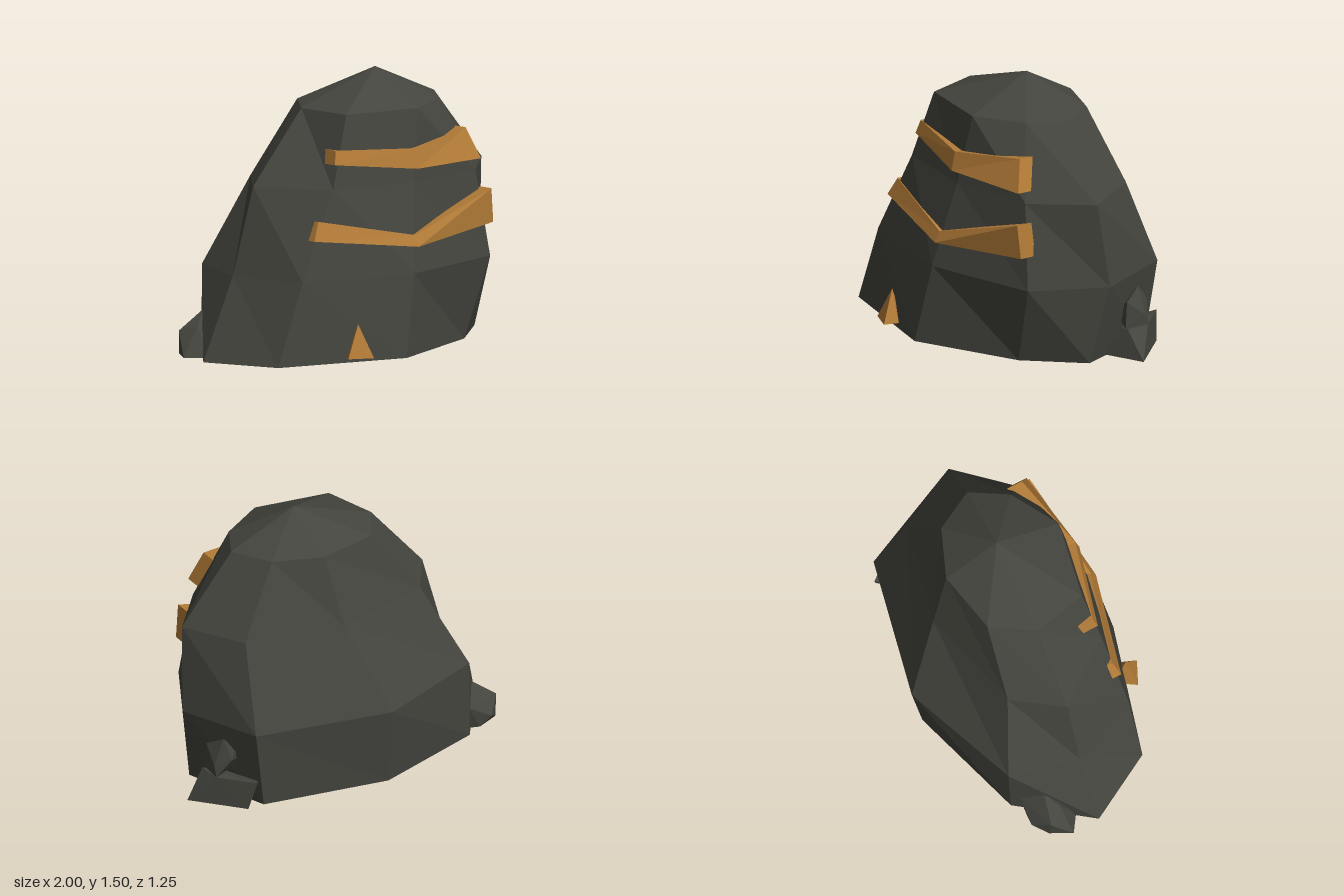
import * as THREE from 'three';
import { ConvexGeometry } from 'three/addons/geometries/ConvexGeometry.js';

const rock = new THREE.MeshStandardMaterial({ color: 0x44453e, flatShading: true });
rock.name = 'dark rock';
const ore = new THREE.MeshStandardMaterial({ color: 0xb27b37, flatShading: true });
ore.name = 'golden ore';

// Skins equal-length closed rings of [x, y, z]; each end is closed by a fan to a centre point.
function loft(rings, endPoint) {
  const pos = [];
  const tri = (a, b, c) => pos.push(...a, ...b, ...c);
  const centre = (r) => [0, 1, 2].map((k) => r.reduce((s, p) => s + p[k], 0) / r.length);
  const first = rings[0], last = rings[rings.length - 1], n = first.length;
  const start = centre(first), end = endPoint || centre(last);
  for (let i = 0; i < n; i++) {
    const j = (i + 1) % n;
    tri(start, first[j], first[i]);
    for (let k = 0; k < rings.length - 1; k++) {
      const lo = rings[k], hi = rings[k + 1];
      tri(lo[i], lo[j], hi[i]);
      tri(lo[j], hi[j], hi[i]);
    }
    tri(last[i], last[j], end);
  }
  const g = new THREE.BufferGeometry();
  g.setAttribute('position', new THREE.Float32BufferAttribute(pos, 3));
  g.computeVertexNormals();
  return g;
}

const hull = (pts) => new ConvexGeometry(pts.map((p) => new THREE.Vector3(...p)));

// Ore vein: each station is [top front corner, bottom front corner], extended back into the rock.
function vein(stations, depth) {
  const back = ([x, y, z]) => [x, y - 0.005, z - depth];
  return loft(stations.map(([top, bottom]) => [back(top), top, bottom, back(bottom)]));
}

export function createModel() {
  const group = new THREE.Group();
  group.name = 'oreBoulder';
  const add = (name, geometry, material) => {
    const mesh = new THREE.Mesh(geometry, material);
    mesh.name = name;
    group.add(mesh);
  };

  // Main boulder: eight-sided [x, z] rings, left side first, then front, right and back
  const layers = [
    [0, [[-0.99, 0.02], [-0.77, 0.4], [-0.04, 0.6], [0.55, 0.35], [0.83, 0.08], [0.68, -0.43], [-0.04, -0.57], [-0.7, -0.37]]],
    [0.45, [[-0.78, 0.01], [-0.6, 0.4], [0.05, 0.55], [0.69, 0.4], [0.92, 0.01], [0.75, -0.46], [-0.03, -0.63], [-0.69, -0.38]]],
    [0.93, [[-0.64, 0.01], [-0.36, 0.36], [0.13, 0.44], [0.62, 0.36], [0.885, 0.07], [0.7, -0.28], [0.14, -0.41], [-0.45, -0.26]]],
    [1.325, [[-0.3, 0], [-0.23, 0.31], [0.2, 0.39], [0.47, 0.235], [0.59, 0.03], [0.47, -0.19], [0.2, -0.3], [-0.15, -0.23]]],
  ];
  const rings = layers.map(([y, pts]) => pts.map(([x, z]) => [x, y, z]));
  add('mainBoulder', loft(rings, [0.2, 1.5, 0.01]), rock);

  // Small stones at the foot of the boulder
  add('leftLowerStone', hull([
    [0.72, 0, -0.05], [1, 0, -0.16], [0.78, 0, -0.43], [0.89, 0.16, -0.14],
    [0.89, 0.16, -0.28], [0.74, 0.16, -0.46], [0.6, 0.1, -0.25],
  ]), rock);
  add('leftUpperStone', hull([
    [0.87, 0.31, -0.15], [0.83, 0.37, -0.26], [0.8, 0.31, -0.32], [0.87, 0.16, -0.14],
    [0.89, 0.16, -0.28], [0.82, 0.27, -0.33], [0.89, 0.22, -0.26], [0.65, 0.2, -0.22],
  ]), rock);
  add('rightStone', hull([
    [-1, 0, -0.14], [-0.95, 0.13, -0.25], [-0.89, 0.16, -0.16], [-0.88, 0, -0.06],
    [-0.72, 0, -0.1], [-0.87, 0.05, -0.33], [-0.8, 0, -0.32], [-0.72, 0.14, -0.33],
    [-0.8, 0.24, -0.22], [-0.7, 0.15, -0.12], [-0.94, 0, -0.26], [-0.6, 0, -0.25],
  ]), rock);

  // Bent ore veins across the front
  add('upperVein', vein([
    [[-0.32, 1.14, 0.33], [-0.34, 1.065, 0.35]],
    [[0.13, 1.115, 0.455], [0.13, 1.01, 0.48]],
    [[0.56, 1.17, 0.35], [0.62, 1, 0.41]],
  ], 0.09), ore);
  add('lowerVein', vein([
    [[-0.47, 0.77, 0.37], [-0.52, 0.67, 0.4]],
    [[0.08, 0.655, 0.525], [0.08, 0.595, 0.555]],
    [[0.66, 0.835, 0.45], [0.68, 0.645, 0.44]],
  ], 0.1), ore);

  // Ore shard at the base
  add('oreShard', hull([
    [-0.32, 0.21, 0.53], [-0.41, 0.03, 0.56], [-0.28, 0.03, 0.62], [-0.25, 0.03, 0.54], [-0.34, 0.03, 0.45],
  ]), ore);

  return group;
}
